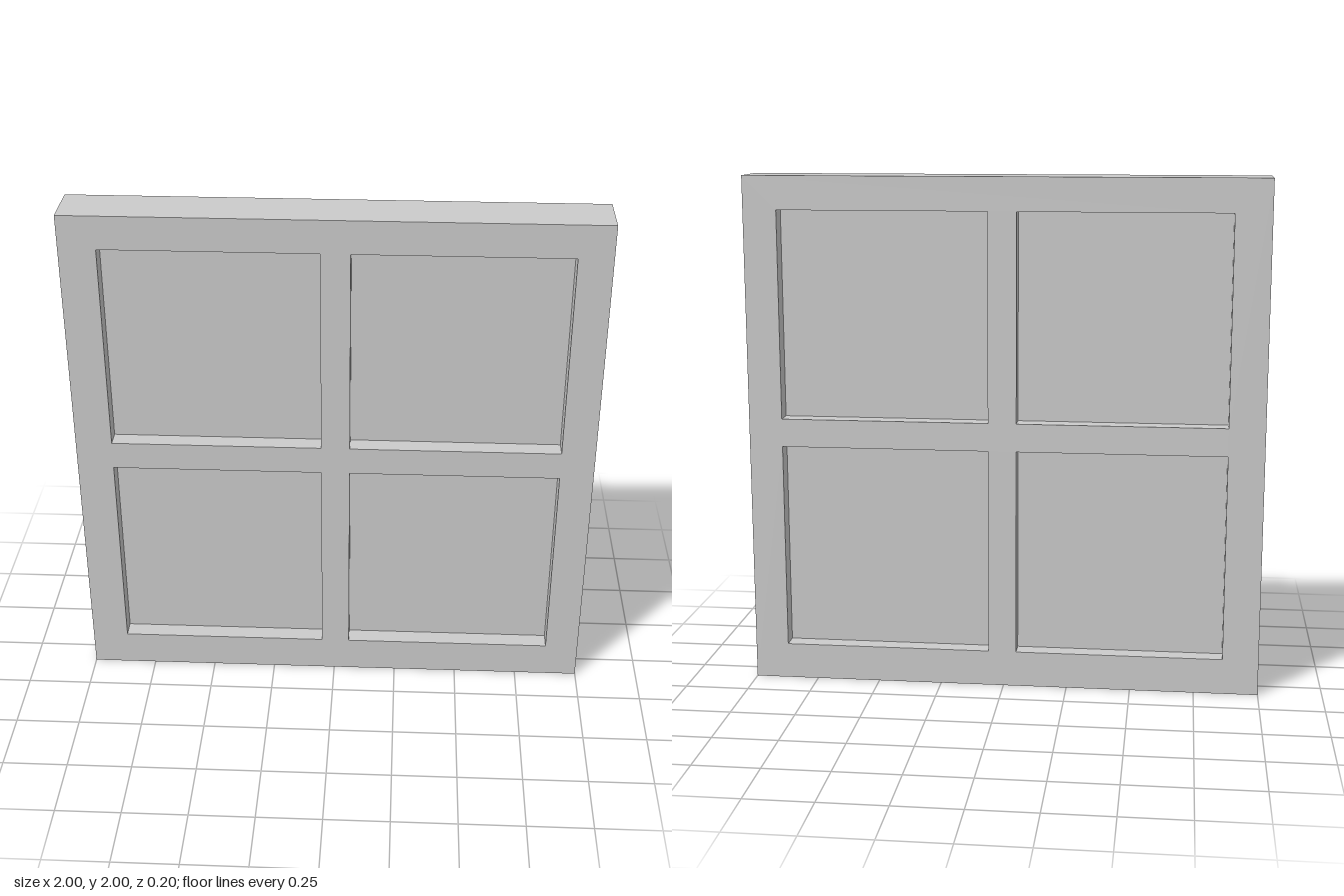
import * as THREE from 'three';

const DEPTH = 0.2;        // frame thickness
const PANE_DEPTH = 0.06;  // pane thickness, recessed on both faces
const PANE = 0.81;        // pane side length
const COLUMNS = [-0.455, 0.465]; // pane centres in x
const ROWS = [0.545, 1.465];     // pane centres in y

function rectangle(target, cx, cy, w, h) {
  target.moveTo(cx - w / 2, cy - h / 2);
  target.lineTo(cx + w / 2, cy - h / 2);
  target.lineTo(cx + w / 2, cy + h / 2);
  target.lineTo(cx - w / 2, cy + h / 2);
  target.closePath();
  return target;
}

export function createModel() {
  const group = new THREE.Group();
  group.name = 'window';
  const material = new THREE.MeshStandardMaterial({ color: 0xcccccc });

  // Square frame with crossing bars, and one pane set midway in each opening
  const outline = rectangle(new THREE.Shape(), 0, 1, 2, 2);
  for (const x of COLUMNS) {
    for (const y of ROWS) {
      outline.holes.push(rectangle(new THREE.Path(), x, y, PANE, PANE));
      const pane = new THREE.Mesh(new THREE.BoxGeometry(PANE, PANE, PANE_DEPTH), material);
      pane.name = `${y > 1 ? 'upper' : 'lower'}${x > 0 ? 'Left' : 'Right'}Pane`;
      pane.position.set(x, y, 0);
      group.add(pane);
    }
  }

  const geometry = new THREE.ExtrudeGeometry(outline, { depth: DEPTH, bevelEnabled: false });
  geometry.translate(0, 0, -DEPTH / 2);
  const frame = new THREE.Mesh(geometry, material);
  frame.name = 'frame';
  group.add(frame);

  return group;
}
